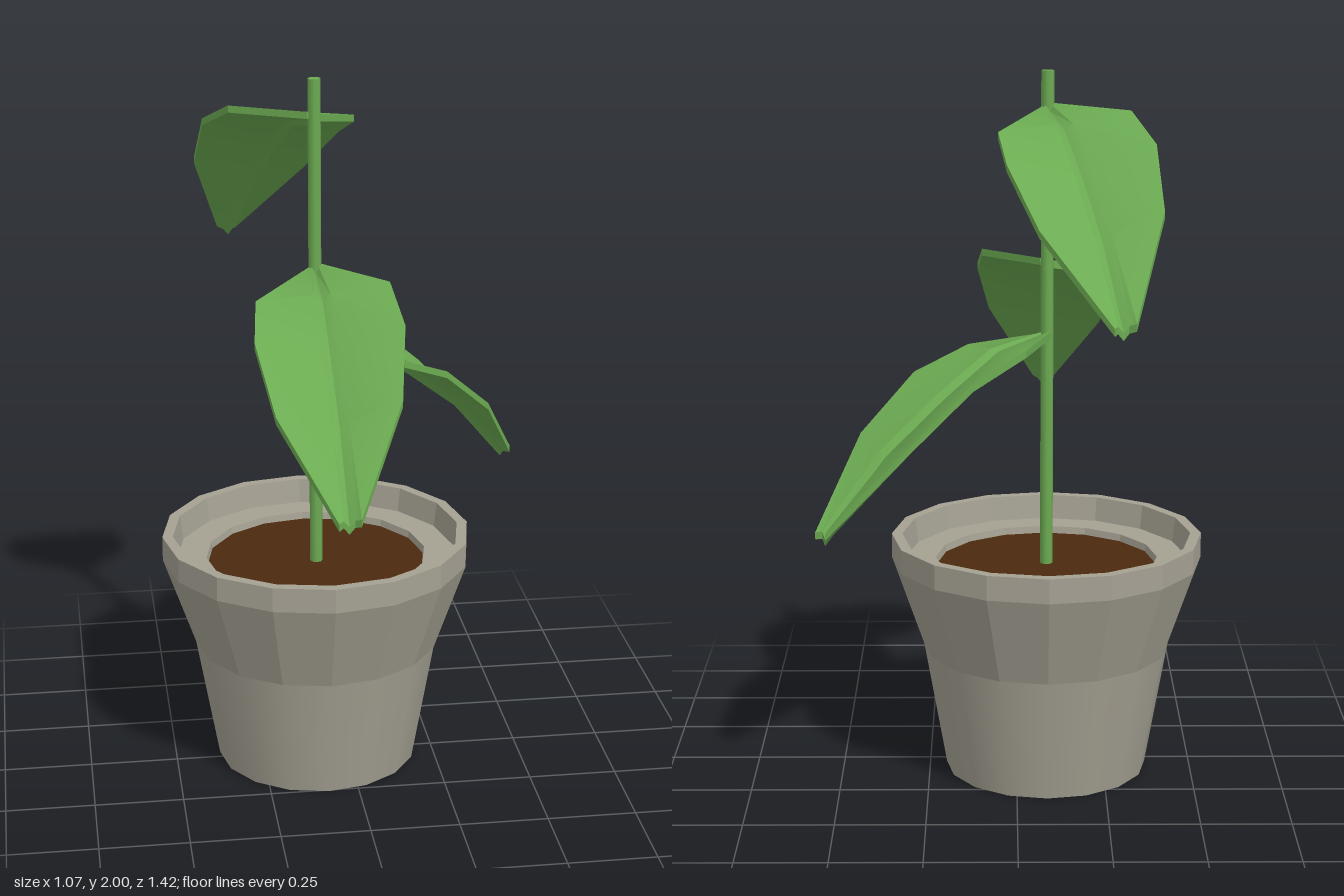
import * as THREE from 'three';
import { toCreasedNormals } from 'three/addons/utils/BufferGeometryUtils.js';

const SIDES = 16;

function material(name, color) {
  const m = new THREE.MeshStandardMaterial({ color });
  m.name = name;
  return m;
}

function mesh(name, geometry, mat, parent) {
  const m = new THREE.Mesh(geometry, mat);
  m.name = name;
  parent.add(m);
  return m;
}

// Lathe from [radius, height] pairs; faceted or smooth around
function lathe(profile, flat) {
  const g = new THREE.LatheGeometry(profile.map(([r, y]) => new THREE.Vector2(r, y)), SIDES);
  if (!flat) return g;
  const f = g.toNonIndexed();
  f.computeVertexNormals();
  return f;
}

// Leaf growing along +z: folded up from a grooved midrib and drooping at the tip
function leafGeometry() {
  const thick = 0.02;
  // z and y of the midrib, rib half width, then [x, y, z] of both rims
  const stations = [
    { z: 0.0, y: -0.01, rib: 0.008, a: [0.02, 0.01, 0.0], b: [-0.02, 0.0, 0.0] },
    { z: 0.17, y: -0.045, rib: 0.022, a: [0.182, 0.005, 0.18], b: [-0.18, -0.045, 0.15] },
    { z: 0.34, y: -0.155, rib: 0.024, a: [0.197, -0.065, 0.355], b: [-0.2, -0.11, 0.315] },
    { z: 0.52, y: -0.29, rib: 0.024, a: [0.165, -0.215, 0.525], b: [-0.165, -0.255, 0.505] },
    { z: 0.705, y: -0.49, rib: 0.015, a: [0.03, -0.465, 0.72], b: [-0.028, -0.475, 0.72] },
  ];
  const pos = [], index = [], n = 10;
  for (const { z, y, rib, a, b } of stations) {
    const top = [a, [rib, y + 0.018, z], [0, y, z], [-rib, y + 0.018, z], b];
    const bottom = top.map(([px, py, pz]) => [px, py - thick, pz]).reverse();
    pos.push(...top.flat(), ...bottom.flat());
  }
  for (let i = 0; i < stations.length - 1; i++) {
    for (let j = 0; j < n; j++) {
      const p = i * n + j, q = i * n + (j + 1) % n;
      index.push(p, q, p + n, q, q + n, p + n);
    }
  }
  // end caps
  const last = (stations.length - 1) * n;
  for (let j = 0; j < 4; j++) {
    const [p, q, r, s] = [j, j + 1, 8 - j, 9 - j];
    index.push(last + p, last + q, last + r, last + p, last + r, last + s);
    index.push(p, r, q, p, s, r);
  }
  const g = new THREE.BufferGeometry();
  g.setAttribute('position', new THREE.Float32BufferAttribute(pos, 3));
  g.setIndex(index);
  return toCreasedNormals(g, 0.5);
}

export function createModel() {
  const model = new THREE.Group();
  model.name = 'pottedPlant';
  const clay = material('stoneGrey', 0xa5a193);
  const earth = material('soilBrown', 0x4b2a0f);
  const green = material('leafGreen', 0x6cab52);

  // Pot: smooth lower wall, faceted flared rim with an inner ledge
  const pot = new THREE.Group();
  pot.name = 'pot';
  pot.position.set(-0.085, 0, -0.03);
  model.add(pot);
  mesh('potLowerWall', lathe([[0.287, 0], [0.35, 0.36]], false), clay, pot);
  mesh('potRim', lathe([
    [0.35, 0.36], [0.44, 0.62], [0.44, 0.69], [0.41, 0.69],
    [0.4, 0.62], [0.315, 0.62], [0.31, 0.59],
  ], true), clay, pot);
  const base = mesh('potBase', new THREE.CircleGeometry(0.287, SIDES), clay, pot);
  base.rotation.x = Math.PI / 2;
  const soil = mesh('soil', new THREE.CircleGeometry(0.314, SIDES), earth, pot);
  soil.rotation.x = -Math.PI / 2;
  soil.position.y = 0.6;

  // Stem and leaves
  const plant = new THREE.Group();
  plant.name = 'plant';
  plant.position.set(-0.085, 0, -0.02);
  model.add(plant);
  const stem = mesh('stem', new THREE.CylinderGeometry(0.018, 0.018, 1.41, 8), green, plant);
  stem.position.y = 1.295;

  const leaf = leafGeometry();
  [['lowerLeaf', 1.267, 121], ['middleLeaf', 1.472, 0], ['upperLeaf', 1.9, 194.8]]
    .forEach(([name, y, turn]) => {
      const l = mesh(name, leaf, green, plant);
      l.position.y = y;
      l.rotation.y = THREE.MathUtils.degToRad(turn);
    });

  return model;
}
